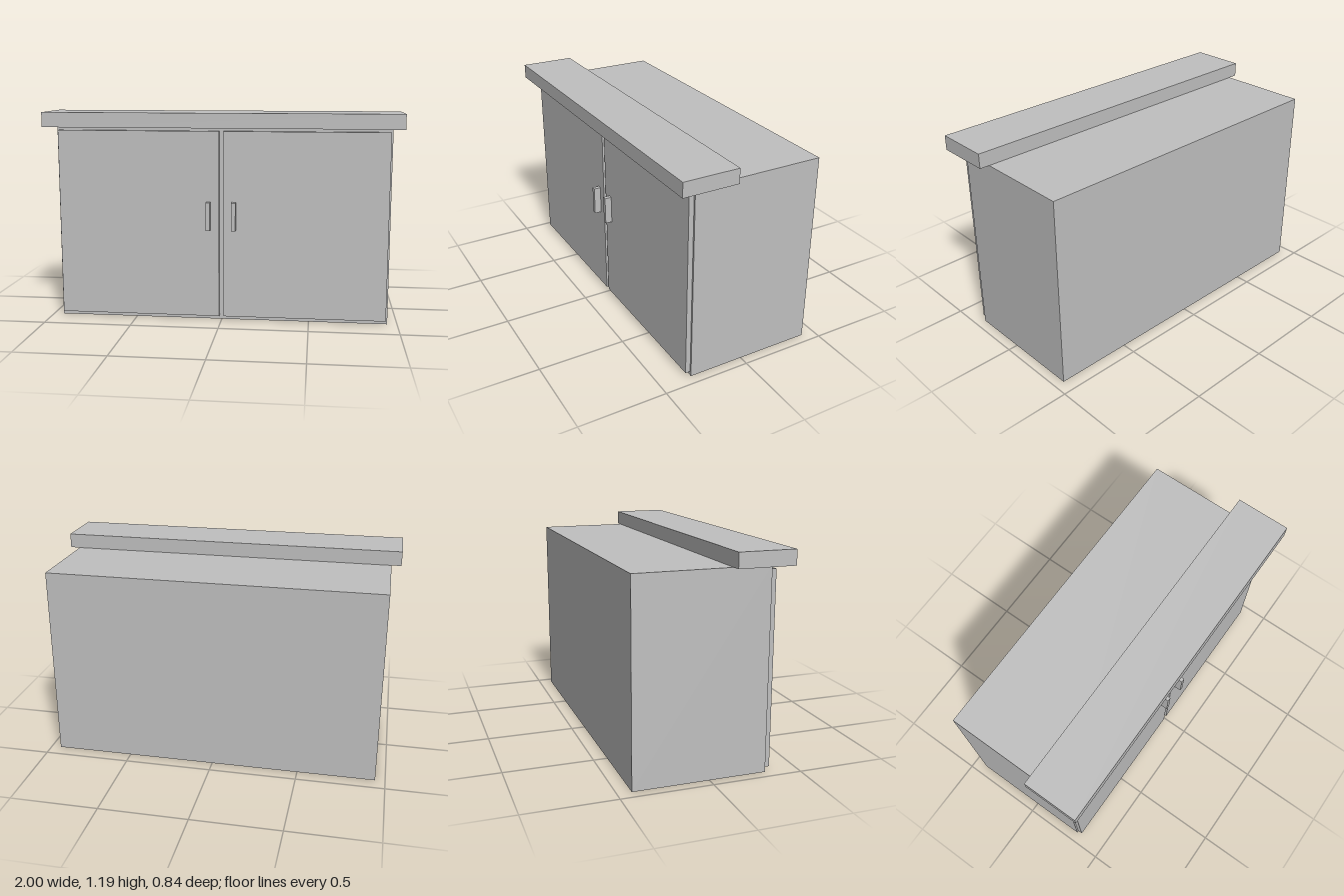
import * as THREE from 'three';

export function createModel() {
  const group = new THREE.Group();
  group.name = 'cabinet';
  const grey = new THREE.MeshStandardMaterial({ name: 'light grey', color: 0xc0c0c0 });

  // Box given by its minimum and maximum corners
  const box = (name, [x0, y0, z0], [x1, y1, z1]) => {
    const mesh = new THREE.Mesh(new THREE.BoxGeometry(x1 - x0, y1 - y0, z1 - z0), grey);
    mesh.position.set((x0 + x1) / 2, (y0 + y1) / 2, (z0 + z1) / 2);
    mesh.name = name;
    group.add(mesh);
    return mesh;
  };

  // Carcass and the overhanging front ledge
  box('body', [-0.944, 0, -0.422], [0.944, 1.108, 0.318]);
  box('topLedge', [-1, 1.108, 0.106], [1, 1.191, 0.422]);

  // Pair of doors with upright handles
  for (const [side, s] of [['left', 1], ['right', -1]]) {
    const door = box(side + 'Door', [0.0125, 0.024, 0.318], [0.934, 1.087, 0.346]);
    const handle = box(side + 'Handle', [0.06, 0.53, 0.346], [0.084, 0.69, 0.385]);
    door.position.x *= s;
    handle.position.x *= s;
  }
  return group;
}
